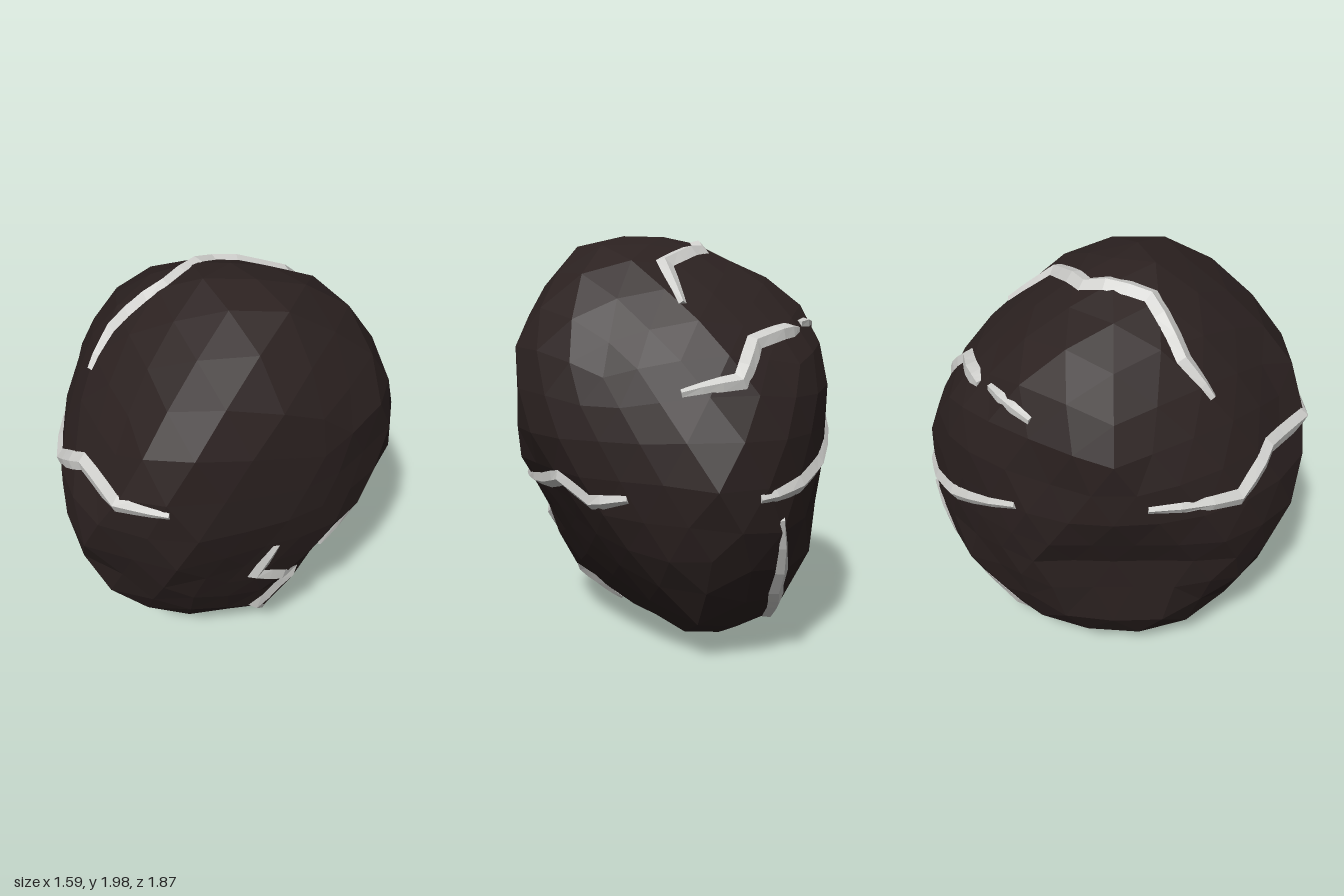
import * as THREE from 'three';

const rockMaterial = new THREE.MeshStandardMaterial({ color: 0x2b2120 });
rockMaterial.name = 'dark stone';
const veinMaterial = new THREE.MeshStandardMaterial({ color: 0xcfcfcc, side: THREE.DoubleSide });
veinMaterial.name = 'pale vein';

const CENTRE = new THREE.Vector3(0, 1, 0);

// A smooth closed outline around the stone's centre, in a plane turned by azimuth and elevation
function outline(azimuth, elevation, points) {
  const a = THREE.MathUtils.degToRad(azimuth), e = THREE.MathUtils.degToRad(elevation);
  const curve = new THREE.CatmullRomCurve3(points.map(([x, y]) => new THREE.Vector3(x, y, 0)), true);
  return {
    across: new THREE.Vector3(Math.cos(a), 0, -Math.sin(a)),
    up: new THREE.Vector3(-Math.sin(a) * Math.sin(e), Math.cos(e), -Math.cos(a) * Math.sin(e)),
    rim: curve.getPoints(44).map((p) => new THREE.Vector2(p.x, p.y)),
  };
}

const OUTLINES = [
  // Across the width
  outline(0, 0, [[0.11, 1], [0.52, 0.84], [0.74, 0.54], [0.81, 0.2], [0.6, -0.28], [0.27, -0.81], [-0.13, -1],
    [-0.5, -0.9], [-0.68, -0.6], [-0.66, -0.28], [-0.81, 0.12], [-0.74, 0.59], [-0.25, 0.93]]),
  // Along the depth
  outline(90, 0, [[-0.08, 1], [0.45, 0.73], [0.8, 0.35], [0.94, -0.14], [0.8, -0.58], [0.45, -0.94], [-0.1, -1],
    [-0.61, -0.73], [-0.88, -0.07], [-0.89, 0.41], [-0.52, 0.85]]),
  // In plan
  outline(0, 90, [[0.21, 0.94], [0.55, 0.55], [0.8, 0.13], [0.6, -0.42], [0.22, -0.83], [-0.22, -0.93],
    [-0.61, -0.69], [-0.8, -0.06], [-0.7, 0.42], [-0.31, 0.8]]),
  // Tilted sections
  outline(35, 25, [[-0.4, 0.86], [0.1, 0.9], [0.47, 0.73], [0.72, 0.31], [0.74, -0.18], [0.39, -0.69],
    [-0.15, -0.93], [-0.59, -0.81], [-0.89, -0.2], [-0.76, 0.38]]),
  outline(215, 25, [[-0.16, 1.03], [0.46, 0.8], [0.82, 0.3], [0.87, -0.06], [0.52, -0.87],
    [-0.31, -1.01], [-0.73, -0.54], [-0.78, 0.13], [-0.63, 0.64]]),
  outline(140, -30, [[-0.13, 0.96], [0.37, 0.77], [0.77, 0.47], [0.8, -0.01], [0.66, -0.65],
    [0.19, -1.03], [-0.33, -0.88], [-0.67, -0.24], [-0.75, 0.4], [-0.37, 0.91]]),
];

// How far a direction can run before its shadow crosses an outline
function reach(rim, d) {
  let far = Infinity;
  for (let i = 1; i < rim.length; i++) {
    const a = rim[i - 1], edge = rim[i].clone().sub(a);
    const slope = d.cross(edge);
    const along = a.cross(d) / slope, distance = a.cross(edge) / slope;
    if (along >= 0 && along <= 1 && distance > 0) far = Math.min(far, distance);
  }
  return far;
}

// Faceted ball pushed out until it meets the nearest outline
function makeRock() {
  const geometry = new THREE.IcosahedronGeometry(1, 4).rotateZ(Math.atan(2 / (1 + Math.sqrt(5))));
  const pos = geometry.attributes.position;
  const dir = new THREE.Vector3();
  for (let i = 0; i < pos.count; i++) {
    dir.fromBufferAttribute(pos, i).normalize();
    let radius = Infinity, widest = 0;
    for (const { across, up, rim } of OUTLINES) {
      const shadow = new THREE.Vector2(dir.dot(across), dir.dot(up));
      radius = Math.min(radius, reach(rim, shadow));
      widest = Math.max(widest, shadow.length());
    }
    // Round off the corners between outlines
    dir.multiplyScalar(radius * Math.pow(widest, 0.6)).add(CENTRE);
    pos.setXYZ(i, dir.x, dir.y, dir.z);
  }
  geometry.computeVertexNormals();
  geometry.computeBoundingSphere();
  const rock = new THREE.Mesh(geometry, rockMaterial);
  rock.name = 'rock';
  return rock;
}

// Vein paths running around the stone
const VEINS = {
  crownVein: [[0.22, 1.68, -0.51], [0.17, 1.88, -0.28], [-0.14, 1.94, -0.13], [-0.25, 1.9, 0.16],
    [-0.5, 1.78, 0.32], [-0.55, 1.6, 0.45]],
  frontVein: [[-0.8, 1.17, 0.15], [-0.65, 1.13, 0.56], [-0.47, 1.28, 0.74], [-0.2, 1.26, 0.92], [0.05, 1.26, 0.92]],
  frontLeftVein: [[0.41, 0.91, 0.55], [0.31, 0.71, 0.54], [0.43, 0.6, 0.37], [0.24, 0.42, 0.35],
    [0.25, 0.31, 0.17], [0.2, 0.14, 0.09]],
  leftVein: [[0.52, 0.82, 0.34], [0.7, 0.83, -0.02], [0.73, 0.88, -0.22], [0.67, 0.78, -0.4], [0.55, 0.83, -0.57]],
  upperBackVein: [[0.33, 1.29, -0.66], [0.1, 1.33, -0.75], [-0.04, 1.51, -0.7], [-0.32, 1.59, -0.67], [-0.38, 1.57, -0.62]],
  upperRightVein: [[-0.44, 1.59, -0.56], [-0.65, 1.54, -0.35]],
  backVein: [[0.1, 0.86, -0.92], [-0.17, 0.88, -0.87], [-0.36, 0.94, -0.74], [-0.7, 1.11, -0.45]],
  lowerBackVein: [[-0.03, 0.76, -0.88], [-0.14, 0.36, -0.75], [-0.23, 0.24, -0.58], [-0.37, 0.1, -0.25]],
};

// Ridged strip laid over the stone, tapering to both ends
function makeVein(name, path, rock) {
  const ray = new THREE.Raycaster();
  const onRock = (p, lift) => {
    const dir = p.clone().sub(CENTRE).normalize();
    ray.set(CENTRE.clone().addScaledVector(dir, 3), dir.clone().negate());
    return ray.intersectObject(rock)[0].point.addScaledVector(dir, lift);
  };
  const corners = path.map((c) => onRock(new THREE.Vector3(...c), 0));
  const steps = 3, spine = [];
  corners.forEach((c, i) => {
    if (i === corners.length - 1) return spine.push(c);
    for (let k = 0; k < steps; k++) spine.push(c.clone().lerp(corners[i + 1], k / steps));
  });
  const points = [], index = [], end = spine.length - 1;
  spine.forEach((p, i) => {
    const along = spine[Math.min(i + 1, end)].clone().sub(spine[Math.max(i - 1, 0)]);
    const half = 0.018 + 0.024 * Math.min(1, i / steps, (end - i) / steps);
    const side = new THREE.Vector3().crossVectors(along, p.clone().sub(CENTRE)).setLength(half);
    points.push(onRock(p.clone().sub(side), 0.003), onRock(p, 0.01 + half * 0.4), onRock(p.clone().add(side), 0.003));
    if (i === 0) return;
    for (let k = 0; k < 2; k++) {
      const a = 3 * (i - 1) + k, b = a + 3;
      index.push(a, a + 1, b, b, a + 1, b + 1);
    }
  });
  // End caps
  const e = 3 * end;
  index.push(0, 2, 1, e, e + 1, e + 2);
  const geometry = new THREE.BufferGeometry().setFromPoints(points).setIndex(index).toNonIndexed();
  geometry.computeVertexNormals();
  const vein = new THREE.Mesh(geometry, veinMaterial);
  vein.name = name;
  return vein;
}

export function createModel() {
  const model = new THREE.Group();
  model.name = 'veinedRock';
  const rock = makeRock();
  model.add(rock);
  for (const [name, path] of Object.entries(VEINS)) model.add(makeVein(name, path, rock));
  return model;
}
